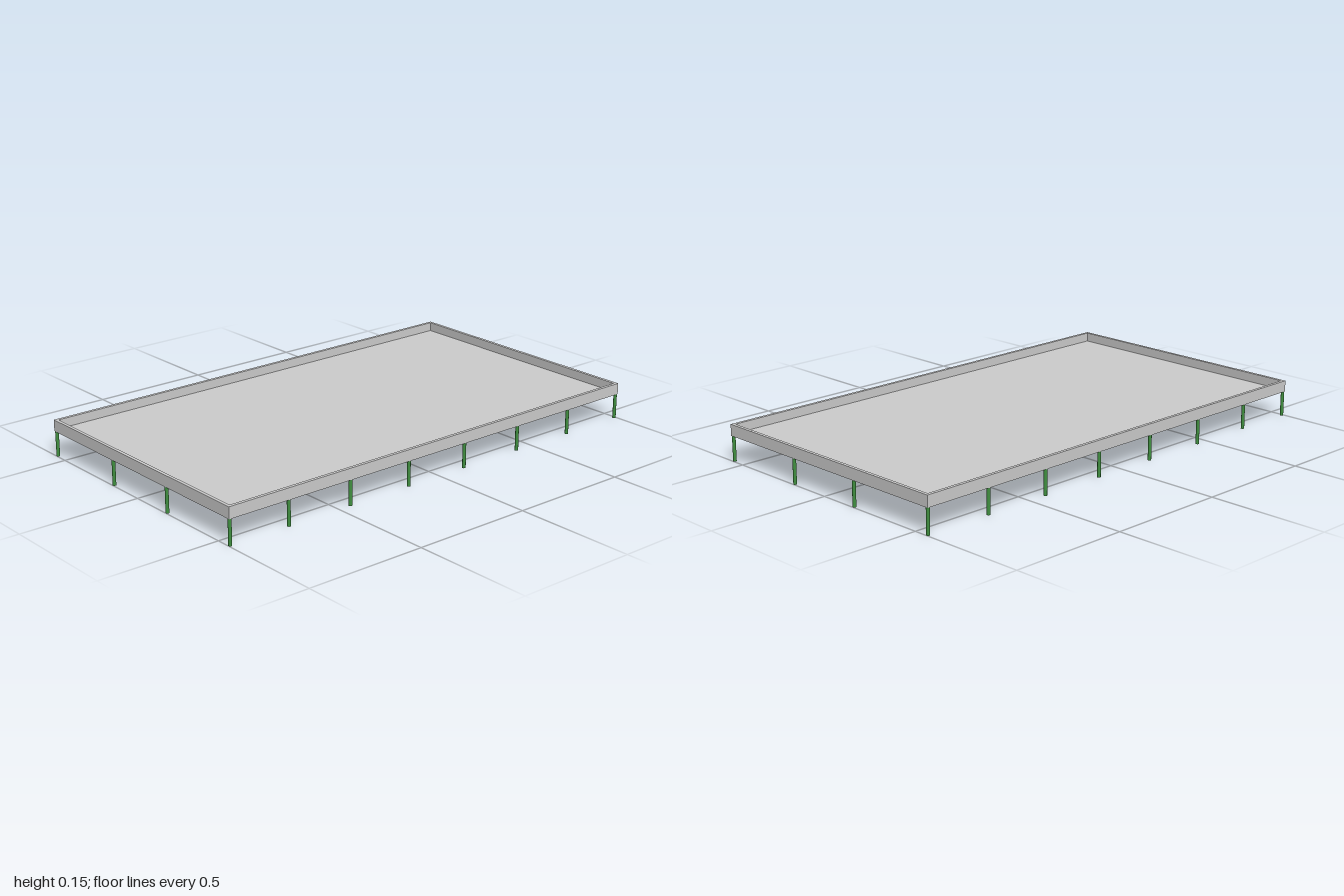
import * as THREE from 'three';

const W = 2, D = 1.132;               // outer footprint
const BASE = 0.103, TOP = 0.15;       // underside and rim height
const RIM = 0.0135, FLOOR = 0.01;     // rim width and floor thickness
const POST_R = 0.007;

export function createModel() {
  const model = new THREE.Group();
  const grey = new THREE.MeshStandardMaterial({ color: 0xcccccc });
  const green = new THREE.MeshStandardMaterial({ color: 0x3f8f3f });

  // Flat floor of the tray
  const floor = new THREE.Mesh(new THREE.BoxGeometry(W - 2 * RIM, FLOOR, D - 2 * RIM), grey);
  floor.name = 'floor';
  floor.position.y = BASE + FLOOR / 2;
  model.add(floor);

  // Raised rim: a rectangular ring extruded upward
  const outline = new THREE.Shape([
    new THREE.Vector2(-W / 2, -D / 2), new THREE.Vector2(W / 2, -D / 2),
    new THREE.Vector2(W / 2, D / 2), new THREE.Vector2(-W / 2, D / 2),
  ]);
  const ix = W / 2 - RIM, iz = D / 2 - RIM;
  outline.holes.push(new THREE.Path([
    new THREE.Vector2(-ix, -iz), new THREE.Vector2(-ix, iz),
    new THREE.Vector2(ix, iz), new THREE.Vector2(ix, -iz),
  ]));
  const rimGeometry = new THREE.ExtrudeGeometry(outline, { depth: TOP - BASE, bevelEnabled: false });
  rimGeometry.rotateX(-Math.PI / 2);
  const rim = new THREE.Mesh(rimGeometry, grey);
  rim.name = 'rim';
  rim.position.y = BASE;
  model.add(rim);

  // Slim round posts around the perimeter
  const posts = new THREE.Group();
  posts.name = 'posts';
  const postGeometry = new THREE.CylinderGeometry(POST_R, POST_R, BASE, 16);
  const addPost = (x, z) => {
    const post = new THREE.Mesh(postGeometry, green);
    post.name = 'post';
    post.position.set(x, BASE / 2, z);
    posts.add(post);
  };
  const px = W / 2 - POST_R, pz = D / 2 - POST_R;
  for (const z of [-pz, pz]) {
    // Evenly stepped from the left end, with a shorter last bay
    for (let i = 0; i < 7; i++) addPost(px - i * 0.2875, z);
    addPost(-px, z);
  }
  for (const x of [-px, px]) {
    for (const z of [0.182, -0.163]) addPost(x, z);
  }
  model.add(posts);

  return model;
}
